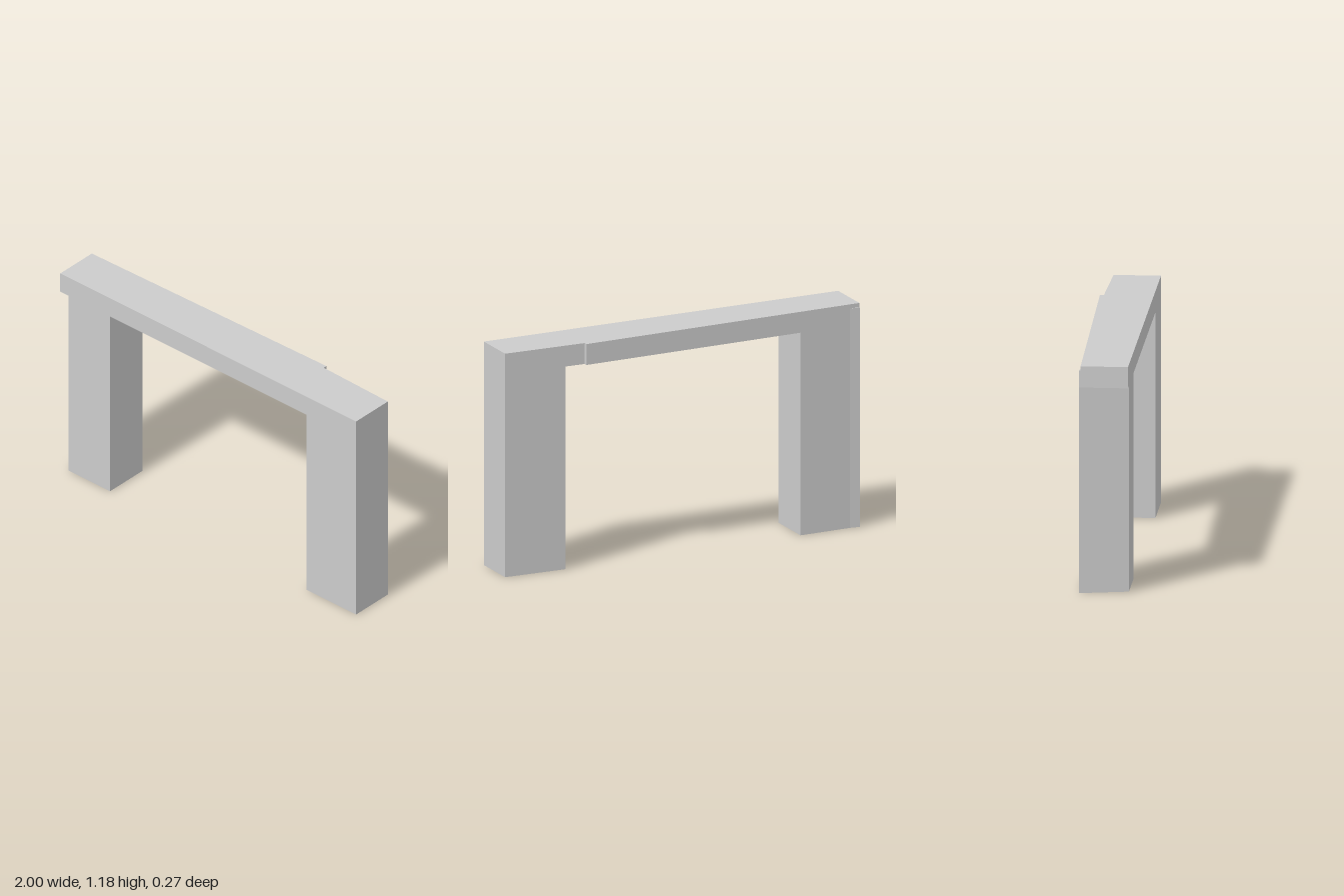
import * as THREE from 'three';

const FRONT = 0.136, BEAM_BOTTOM = 1.067, TOP = 1.177;

// Upright prism from a plan outline of [x, z] corners
function prism(name, outline, y0, y1) {
  const shape = new THREE.Shape(outline.map(([x, z]) => new THREE.Vector2(x, -z)));
  const geometry = new THREE.ExtrudeGeometry(shape, { depth: y1 - y0, bevelEnabled: false });
  geometry.rotateX(-Math.PI / 2).translate(0, y0, 0);
  const mesh = new THREE.Mesh(geometry, new THREE.MeshStandardMaterial({ color: 0xcccccc, flatShading: true }));
  mesh.name = name;
  return mesh;
}

export function createModel() {
  const group = new THREE.Group();
  group.name = 'gateway';

  // Lintel with a slightly skewed, stepped back face
  group.add(prism('lintel', [
    [-1, FRONT], [1, FRONT], [1, -0.104], [0.557, -0.116], [0.557, -0.136], [-1, -0.104],
  ], BEAM_BOTTOM, TOP));

  // Pillar on the model's left
  group.add(prism('leftPillar', [
    [0.664, FRONT], [1, FRONT], [1, -0.104], [0.664, -0.113],
  ], 0, BEAM_BOTTOM));

  // Pillar on the model's right, with a slanted outer side and flared back corner
  group.add(prism('rightPillar', [
    [-0.945, FRONT], [-0.664, FRONT], [-0.664, -0.111], [-0.945, -0.105], [-1, -0.112],
  ], 0, BEAM_BOTTOM));

  // Flared corner running up behind the lintel
  group.add(prism('cornerFlare', [
    [-1, -0.104], [-0.945, -0.105], [-1, -0.112],
  ], BEAM_BOTTOM, 1.155));

  return group;
}
